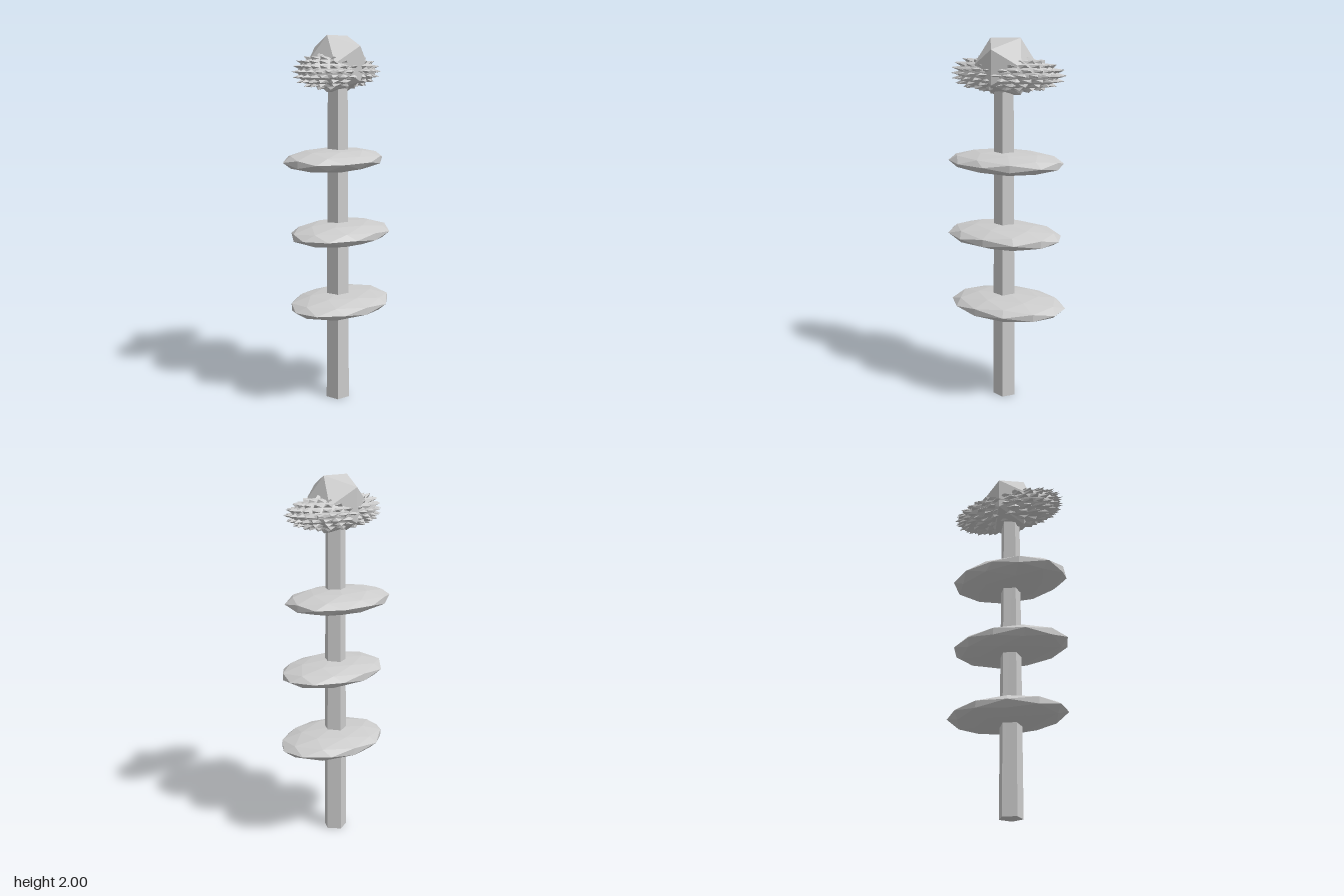
import * as THREE from 'three';
import { mergeGeometries } from 'three/addons/utils/BufferGeometryUtils.js';

const material = new THREE.MeshStandardMaterial({ color: 0xcccccc, flatShading: true });
const rad = THREE.MathUtils.degToRad;

function addPart(parent, name, geometry, x, y, z) {
  const mesh = new THREE.Mesh(geometry, material);
  mesh.name = name;
  mesh.position.set(x, y, z);
  parent.add(mesh);
  return mesh;
}

// Faceted disc: an icosphere turned about y, then squashed
function leafGeometry(turn, rx, ry, rz) {
  return new THREE.IcosahedronGeometry(1, 1).rotateY(rad(turn)).scale(rx, ry, rz);
}

// Squashed ball covered in staggered rows of four-sided spikes
function spikyGeometry(rx, ry, rz) {
  const parts = [new THREE.IcosahedronGeometry(0.87, 3)];
  const up = new THREE.Vector3(0, 1, 0);
  for (let row = -4; row <= 4; row++) {
    const lat = rad(row * 17);
    const count = 4 * Math.round(6 * Math.cos(lat));
    for (let i = 0; i < count; i++) {
      const around = ((i + (row % 2 ? 0.5 : 0)) / count) * Math.PI * 2;
      const dir = new THREE.Vector3(
        Math.cos(lat) * Math.cos(around), Math.sin(lat), Math.cos(lat) * Math.sin(around));
      const spike = new THREE.ConeGeometry(0.15, 0.18, 4, 1, true).toNonIndexed();
      spike.translate(0, 0.91, 0);
      spike.applyQuaternion(new THREE.Quaternion().setFromUnitVectors(up, dir));
      parts.push(spike);
    }
  }
  const geometry = mergeGeometries(parts);
  // Blunt the right-hand end by pushing its upper and lower rows outwards
  const pos = geometry.attributes.position;
  for (let i = 0; i < pos.count; i++) {
    const x = pos.getX(i), y = pos.getY(i);
    if (x < 0) pos.setX(i, Math.max(-1, x * (1 + 0.45 * y * y)));
  }
  geometry.scale(rx, ry, rz);
  geometry.computeVertexNormals();
  return geometry;
}

export function createModel() {
  const model = new THREE.Group();
  model.name = 'flower';

  // Five-sided tapering stem with one edge facing +x
  const stem = new THREE.CylinderGeometry(0.055, 0.066, 1.8, 5).rotateY(rad(18));
  addPart(model, 'stem', stem, -0.014, 0.9, 0.007);

  // Three leaf discs up the stem: turn, half sizes, centre
  const leaves = [
    { turn: 18, rx: 0.337, rz: 0.247, at: [0.007, 0.547, 0.01] },
    { turn: 31.7, rx: 0.334, rz: 0.24, at: [-0.008, 0.946, 0.022] },
    { turn: 58.3, rx: 0.336, rz: 0.238, at: [-0.02, 1.343, -0.012] },
  ];
  leaves.forEach(({ turn, rx, rz, at }, i) =>
    addPart(model, `leaf${i + 1}`, leafGeometry(turn, rx, 0.063, rz), ...at));

  // Spiky petal head and the faceted centre on top
  addPart(model, 'petals', spikyGeometry(0.343, 0.1, 0.158), 0, 1.812, 0);
  addPart(model, 'flowerCentre', new THREE.IcosahedronGeometry(0.173, 0), -0.011, 1.853, 0.002);

  return model;
}
